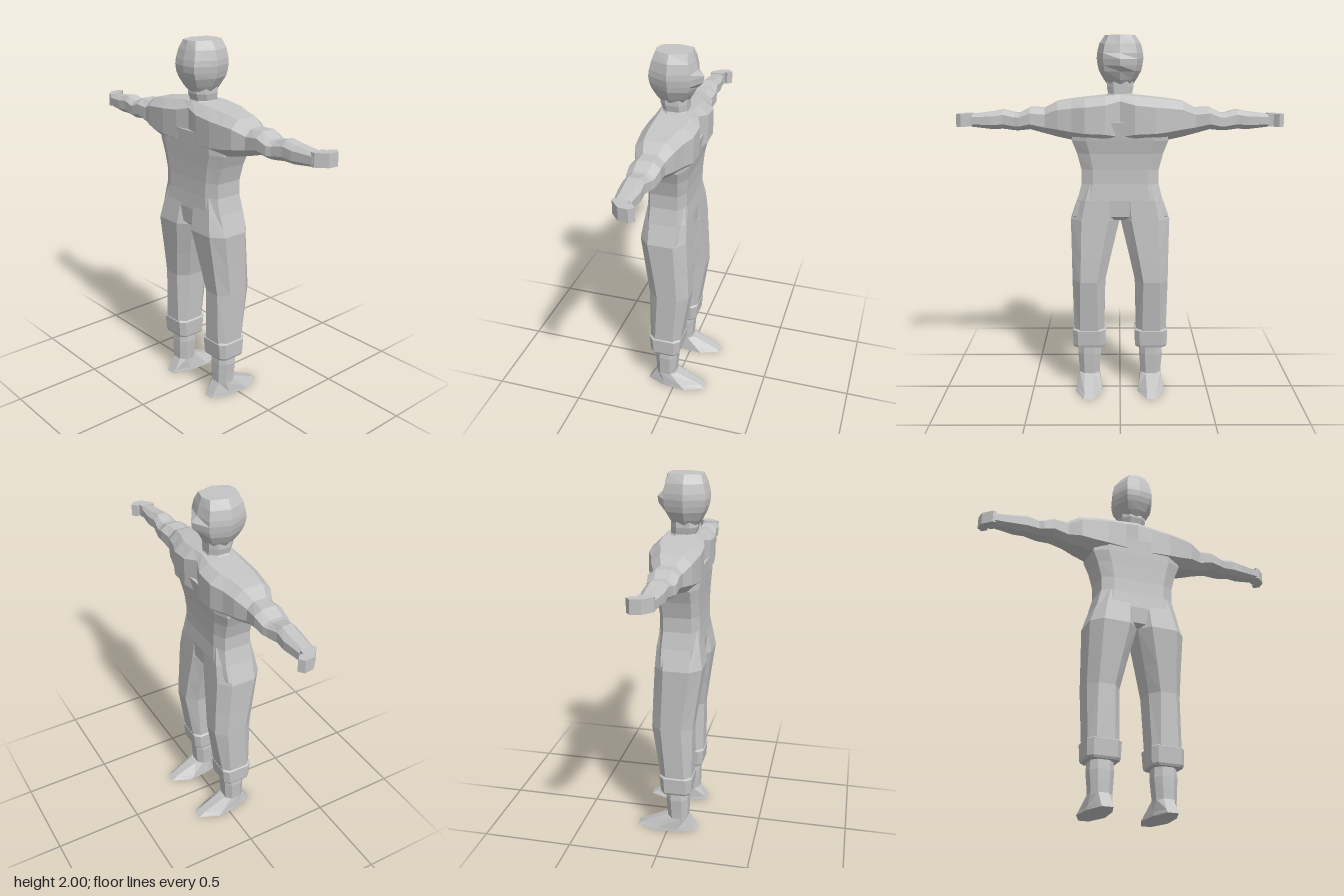
import * as THREE from 'three';

const clay = new THREE.MeshStandardMaterial({ color: 0xc4c4c4, flatShading: true });
clay.name = 'light grey';

// Eight corners of a chamfered rectangle; f is the flat share of each side.
function oct(a0, a1, b0, b1, f = 0.5) {
  const a = (a0 + a1) / 2, b = (b0 + b1) / 2;
  const p = (a1 - a0) / 2 * f, q = (b1 - b0) / 2 * f;
  return [[a1, b + q], [a + p, b1], [a - p, b1], [a0, b + q],
    [a0, b - q], [a - p, b0], [a + p, b0], [a1, b - q]];
}
// Horizontal ring at height y, and upright ring at distance z along the arm.
const flat = (y, pts, s = 1) => pts.map(([x, z]) => new THREE.Vector3(x, y, z * s));
const upright = (z, pts) => pts.map(([x, y]) => new THREE.Vector3(x, y, z));

// Closed, faceted skin over a list of rings with capped ends.
function loft(name, rings) {
  const tris = [], n = rings[0].length;
  for (let r = 0; r < rings.length - 1; r++) {
    for (let i = 0; i < n; i++) {
      const j = (i + 1) % n, A = rings[r], B = rings[r + 1];
      tris.push([A[i], A[j], B[j]], [A[i], B[j], B[i]]);
    }
  }
  const cap = (ring, flip) => {
    const c = ring.reduce((m, p) => m.add(p), new THREE.Vector3()).divideScalar(n);
    ring.forEach((p, i) => {
      const q = ring[(i + 1) % n];
      tris.push(flip ? [c, q, p] : [c, p, q]);
    });
  };
  cap(rings[0], true);
  cap(rings[rings.length - 1], false);
  // Turn all faces outward, whichever way the rings run.
  const volume = tris.reduce((v, [a, b, c]) => v + a.dot(b.clone().cross(c)), 0);
  const pts = tris.flatMap(([a, b, c]) => (volume < 0 ? [a, c, b] : [a, b, c]));
  const geo = new THREE.BufferGeometry().setFromPoints(pts);
  geo.computeVertexNormals();
  const mesh = new THREE.Mesh(geo, clay);
  mesh.name = name;
  return mesh;
}

export function createModel() {
  const model = new THREE.Group();
  model.name = 'figure';

  // Torso: height, back, front, half width
  model.add(loft('torso', [
    [1.0, -0.14, 0.04, 0.24], [1.02, -0.16, 0.06, 0.265], [1.11, -0.168, 0.064, 0.235],
    [1.2, -0.162, 0.056, 0.212], [1.28, -0.16, 0.056, 0.212], [1.37, -0.162, 0.062, 0.235],
    [1.44, -0.165, 0.075, 0.262], [1.54, -0.168, 0.09, 0.25],
  ].map(([y, b, f, w]) => flat(y, oct(b, f, -w, w, 0.7)))));

  // Chest and sleeves: distance out, back, front, bottom, top, flat share
  const arm = [
    [0, -0.15, 0.07, 1.43, 1.685, 0.75], [0.08, -0.168, 0.102, 1.43, 1.68, 0.62],
    [0.19, -0.172, 0.1, 1.435, 1.668, 0.6], [0.26, -0.165, 0.07, 1.442, 1.66, 0.58],
    [0.34, -0.155, 0.052, 1.458, 1.648, 0.55], [0.41, -0.125, 0.022, 1.474, 1.612, 0.5],
    [0.49, -0.126, 0.03, 1.497, 1.614, 0.5], [0.55, -0.124, 0.02, 1.49, 1.585, 0.5],
    [0.575, -0.114, 0.012, 1.49, 1.585, 0.5], [0.64, -0.105, 0, 1.498, 1.602, 0.5],
    [0.7, -0.105, 0.004, 1.496, 1.59, 0.5], [0.82, -0.088, -0.01, 1.51, 1.576, 0.6],
  ];
  const armRing = (s) => ([z, ...r]) => upright(z * s, oct(...r));
  model.add(loft('chestAndSleeves', [
    ...arm.slice(1).reverse().map(armRing(-1)), ...arm.map(armRing(1)),
  ]));

  // Neck
  model.add(loft('neck', [
    flat(1.66, oct(-0.12, 0.03, -0.085, 0.085)), flat(1.69, oct(-0.11, 0.02, -0.065, 0.065)),
    flat(1.725, oct(-0.122, 0.02, -0.072, 0.072)), flat(1.76, oct(-0.12, 0.02, -0.07, 0.07)),
  ]));

  // Head: height, back, front, half width, front corner
  model.add(loft('head', [
    [1.73, -0.12, 0.012, 0.065, -0.005], [1.765, -0.145, 0.04, 0.09, 0.015],
    [1.81, -0.168, 0.063, 0.115, 0.038], [1.84, -0.178, 0.094, 0.122, 0.045],
    [1.875, -0.182, 0.1, 0.127, 0.048], [1.905, -0.178, 0.068, 0.125, 0.048],
    [1.955, -0.166, 0.056, 0.113, 0.04], [2.0, -0.15, 0.042, 0.082, 0.028],
  ].map(([y, b, f, w, c]) => flat(y, [
    [f, 0], [c, w * 0.72], [-0.06, w], [b + 0.01, w * 0.6],
    [b, 0], [b + 0.01, -w * 0.6], [-0.06, -w], [c, -w * 0.72],
  ]))));

  for (const s of [1, -1]) {
    const side = new THREE.Group();
    side.name = s > 0 ? 'nearSideLimbs' : 'farSideLimbs';
    const column = (name, rows) => side.add(loft(name,
      rows.map(([y, x0, x1, z0, z1, f]) => flat(y, oct(x0, x1, z0, z1, f), s))));

    // Curled hand
    const hand = [[-0.086, 0.81], [-0.086, 0.83], [-0.04, 0.882], [0.012, 0.89],
      [0.035, 0.862], [0.01, 0.835], [-0.006, 0.842], [-0.01, 0.81]];
    side.add(loft('hand', [flat(1.512, hand, s), flat(1.582, hand, s)]));

    // Trouser leg and its turned-up cuff
    column('trouserLeg', [
      [0.33, -0.138, 0.036, 0.092, 0.262, 0.6], [0.65, -0.14, 0.086, 0.084, 0.268, 0.5],
      [0.8, -0.16, 0.08, 0.05, 0.27, 0.52], [1.0, -0.188, 0.07, 0.002, 0.274, 0.55],
      [1.11, -0.17, 0.064, 0.01, 0.235, 0.6], [1.2, -0.155, 0.05, 0.03, 0.2, 0.6],
    ]);
    column('cuff', [
      [0.25, -0.13, 0.03, 0.09, 0.262, 0.7], [0.262, -0.136, 0.034, 0.086, 0.268, 0.7],
      [0.35, -0.142, 0.042, 0.082, 0.27, 0.7], [0.357, -0.132, 0.034, 0.092, 0.26, 0.7],
    ]);

    // Ankle
    column('ankle', [
      [0.07, -0.112, 0, 0.12, 0.234], [0.14, -0.114, 0.006, 0.115, 0.238],
      [0.2, -0.114, 0.01, 0.11, 0.243], [0.27, -0.11, 0.01, 0.117, 0.235],
    ]);

    // Pointed shoe
    const sole = [[0.182, 0.205], [0.07, 0.255], [-0.06, 0.245], [-0.165, 0.205],
      [-0.165, 0.145], [-0.06, 0.11], [0.07, 0.1], [0.182, 0.148]];
    const rim = [[0.15, 0.2], [0.05, 0.25], [-0.06, 0.242], [-0.152, 0.205],
      [-0.152, 0.145], [-0.06, 0.112], [0.05, 0.105], [0.15, 0.153]];
    side.add(loft('shoe', [flat(0, sole, s), flat(0.018, rim, s),
      flat(0.082, oct(-0.113, 0.012, 0.12, 0.234), s)]));
    model.add(side);
  }
  return model;
}
